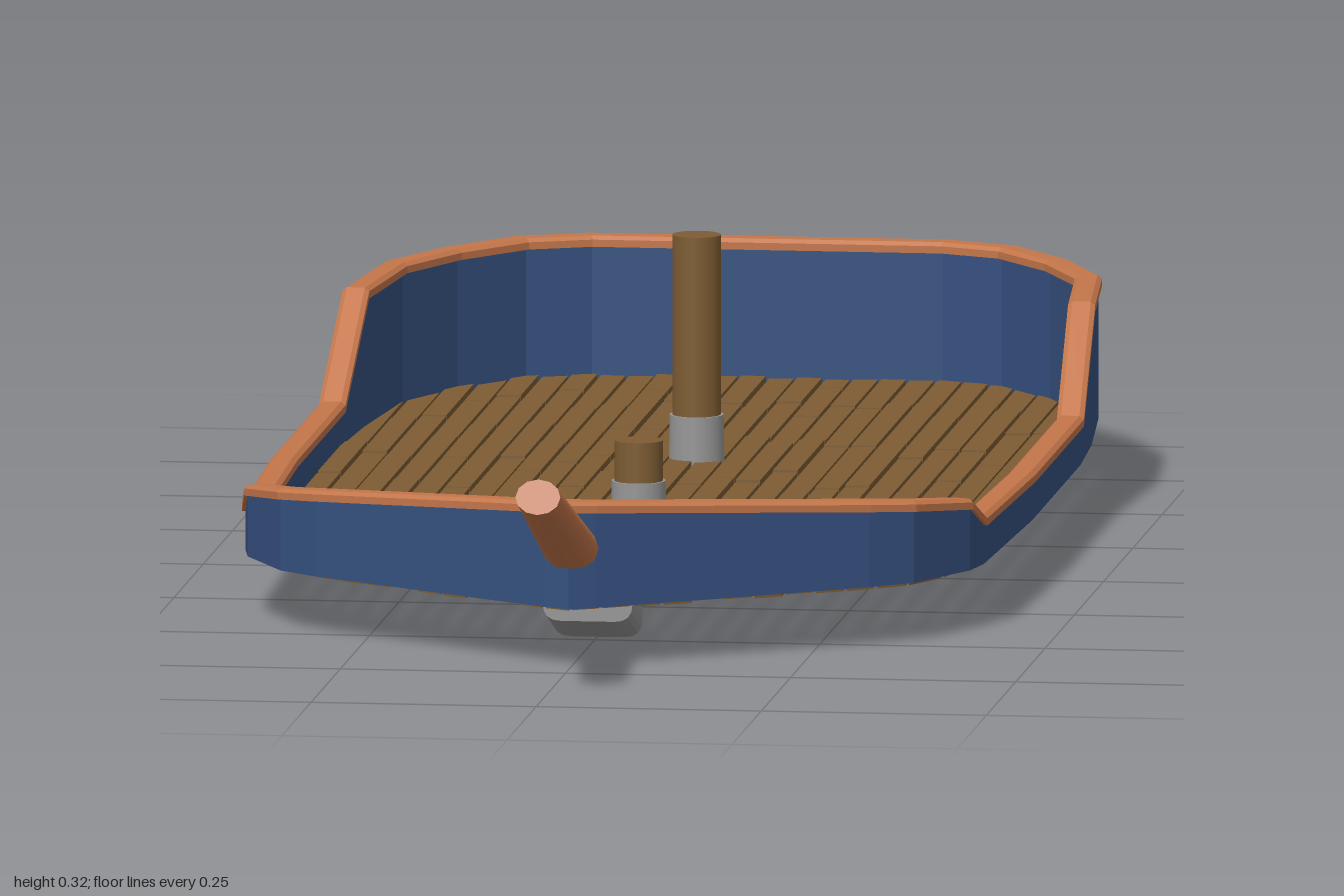
import * as THREE from 'three';
import { mergeGeometries } from 'three/addons/utils/BufferGeometryUtils.js';

const paint = (color, flatShading = true) => new THREE.MeshStandardMaterial({ color, flatShading });
const BLUE = 0x35507f, COPPER = 0xc4764a, WOOD = 0x7d5c33, GREY = 0x959595;

// Half of the hull plan as [x, z], from stern to bow
const half = [
  [0.2, -1], [0.28, -0.965], [0.35, -0.87], [0.4, -0.757], [0.418, -0.56], [0.425, -0.41],
  [0.425, 0], [0.414, 0.33], [0.405, 0.38], [0.355, 0.48], [0.31, 0.52], [0.03, 0.712],
];
const outline = [...half, [0, 0.728], ...half.map(([x, z]) => [-x, z]).reverse()];

// Height of the bulwark along z: high stern, low waist, rising bow
const sheer = [[-1, 0.23], [-0.56, 0.23], [-0.41, 0.125], [0.33, 0.125], [0.38, 0.15], [0.73, 0.19]];
function topAt(z) {
  for (let i = 1; i < sheer.length; i++) {
    const [z0, y0] = sheer[i - 1], [z1, y1] = sheer[i];
    if (z <= z1) return y0 + (y1 - y0) * Math.max(0, (z - z0) / (z1 - z0));
  }
  return 0.19;
}

// Plan outline moved inward by d with mitred corners
function inset(d) {
  const n = outline.length;
  return outline.map((p, i) => {
    const a = outline[(i + n - 1) % n], b = outline[(i + 1) % n];
    const u = new THREE.Vector2(p[0] - a[0], p[1] - a[1]).normalize();
    const v = new THREE.Vector2(b[0] - p[0], b[1] - p[1]).normalize();
    const k = d / (1 + u.dot(v));
    return [p[0] - (u.y + v.y) * k, p[1] + (u.x + v.x) * k];
  });
}

// Closed sweep round the plan; section(z) lists [inset, y] counter-clockwise from outside
function sweep(section) {
  const count = section(0).length, pos = [], index = [], n = outline.length;
  const rings = [];
  for (let j = 0; j < count; j++) rings.push(inset(section(0)[j][0]));
  for (let i = 0; i < n; i++) {
    const s = section(outline[i][1]);
    for (let j = 0; j < count; j++) pos.push(rings[j][i][0], s[j][1], rings[j][i][1]);
  }
  for (let i = 0; i < n; i++) {
    for (let j = 0; j < count; j++) {
      const a = i * count + j, b = i * count + (j + 1) % count;
      const c = ((i + 1) % n) * count + j, d = ((i + 1) % n) * count + (j + 1) % count;
      index.push(a, b, c, b, d, c);
    }
  }
  const g = new THREE.BufferGeometry();
  g.setAttribute('position', new THREE.Float32BufferAttribute(pos, 3));
  g.setIndex(index);
  const flat = g.toNonIndexed();
  flat.computeVertexNormals();
  return flat;
}

// Deck planks: staggered boards whose ends are trimmed to the hull
function deckGeometry() {
  let seed = 7;
  const rand = () => (seed = (seed * 16807) % 2147483647) / 2147483647;
  const edge = inset(0.016), limit = 0.405, rows = 26, w = (2 * limit) / rows, gap = 0.004;
  const span = (x) => {
    const zs = [];
    edge.forEach(([x0, z0], i) => {
      const [x1, z1] = edge[(i + 1) % edge.length];
      if ((x0 - x) * (x1 - x) <= 0 && x0 !== x1) zs.push(z0 + (z1 - z0) * (x - x0) / (x1 - x0));
    });
    return [Math.min(...zs), Math.max(...zs)];
  };
  const boards = [];
  for (let r = 0; r < rows; r++) {
    const xs = [-limit + r * w + gap / 2, -limit + (r + 1) * w - gap / 2];
    const spans = xs.map(span);
    const lo = Math.min(spans[0][0], spans[1][0]), hi = Math.max(spans[0][1], spans[1][1]);
    let z = lo - rand() * 0.15;
    while (z < hi) {
      const end = z + 0.2 + rand() * 0.14, y = 0.071 + (rand() - 0.5) * 0.003;
      const box = new THREE.BoxGeometry(1, 0.009, 1), p = box.attributes.position;
      for (let i = 0; i < p.count; i++) {
        const side = p.getX(i) < 0 ? 0 : 1;
        const zz = p.getZ(i) < 0 ? z : end - gap;
        p.setXYZ(i, xs[side], p.getY(i) + y, THREE.MathUtils.clamp(zz, ...spans[side]));
      }
      boards.push(box);
      z = end;
    }
  }
  const g = mergeGeometries(boards);
  g.computeVertexNormals();
  return g;
}

export function createModel() {
  const model = new THREE.Group();
  const add = (name, geometry, color, flat = true, parent = model) => {
    const mesh = new THREE.Mesh(geometry, paint(color, flat));
    mesh.name = name;
    parent.add(mesh);
    return mesh;
  };

  // Hull wall and the chamfered rail capping it
  add('hullWall', sweep((z) => [
    [0.004, 0.07], [0.004, topAt(z) - 0.009], [0.024, topAt(z) - 0.009], [0.024, 0.07],
  ]), BLUE);
  add('rail', sweep((z) => {
    const y = topAt(z);
    return [[0, y - 0.012], [0, y - 0.004], [0.005, y], [0.025, y], [0.03, y - 0.004], [0.03, y - 0.012]];
  }), COPPER);
  add('deck', deckGeometry(), WOOD);

  // Mast and mast stump, each in a grey collar let through the deck
  for (const [name, z, top] of [['mainMast', -0.37, 0.325], ['mastStump', 0.125, 0.17]]) {
    const group = new THREE.Group();
    group.name = name;
    group.position.z = z;
    const pole = add('pole', new THREE.CylinderGeometry(0.027, 0.027, top - 0.08, 20), WOOD, false, group);
    pole.position.y = (top + 0.08) / 2;
    const collar = add('collar', new THREE.CylinderGeometry(0.03, 0.031, 0.06, 20), GREY, false, group);
    collar.position.y = 0.095;
    model.add(group);
  }

  // Bowsprit, slightly flattened and tapering forward
  const tip = new THREE.Vector3(0, 0.234, 0.985), heel = new THREE.Vector3(0, 0.063, 0.5);
  const sprit = add('bowsprit',
    new THREE.CylinderGeometry(0.025, 0.036, tip.distanceTo(heel), 12).scale(1, 1, 0.8), COPPER, false);
  sprit.position.copy(tip).add(heel).multiplyScalar(0.5);
  sprit.rotation.x = Math.atan2(tip.z - heel.z, tip.y - heel.y);

  // Grey heel block: a rounded block sheared along the bowsprit
  const w = 0.05, h = 0.045, c = 0.02, s = new THREE.Shape();
  s.moveTo(-w + c, -h);
  s.lineTo(w - c, -h).quadraticCurveTo(w, -h, w, -h + c);
  s.lineTo(w, h - c).quadraticCurveTo(w, h, w - c, h);
  s.lineTo(-w + c, h).quadraticCurveTo(-w, h, -w, h - c);
  s.lineTo(-w, -h + c).quadraticCurveTo(-w, -h, -w + c, -h);
  const block = new THREE.ExtrudeGeometry(s, { depth: 0.085, bevelEnabled: false, curveSegments: 4 });
  const p = block.attributes.position;
  for (let i = 0; i < p.count; i++) p.setXYZ(i, p.getX(i), p.getY(i) + 0.35 * p.getZ(i) + 0.048, p.getZ(i) + 0.477);
  block.computeVertexNormals();
  add('bowspritHeel', block, GREY);

  return model;
}
